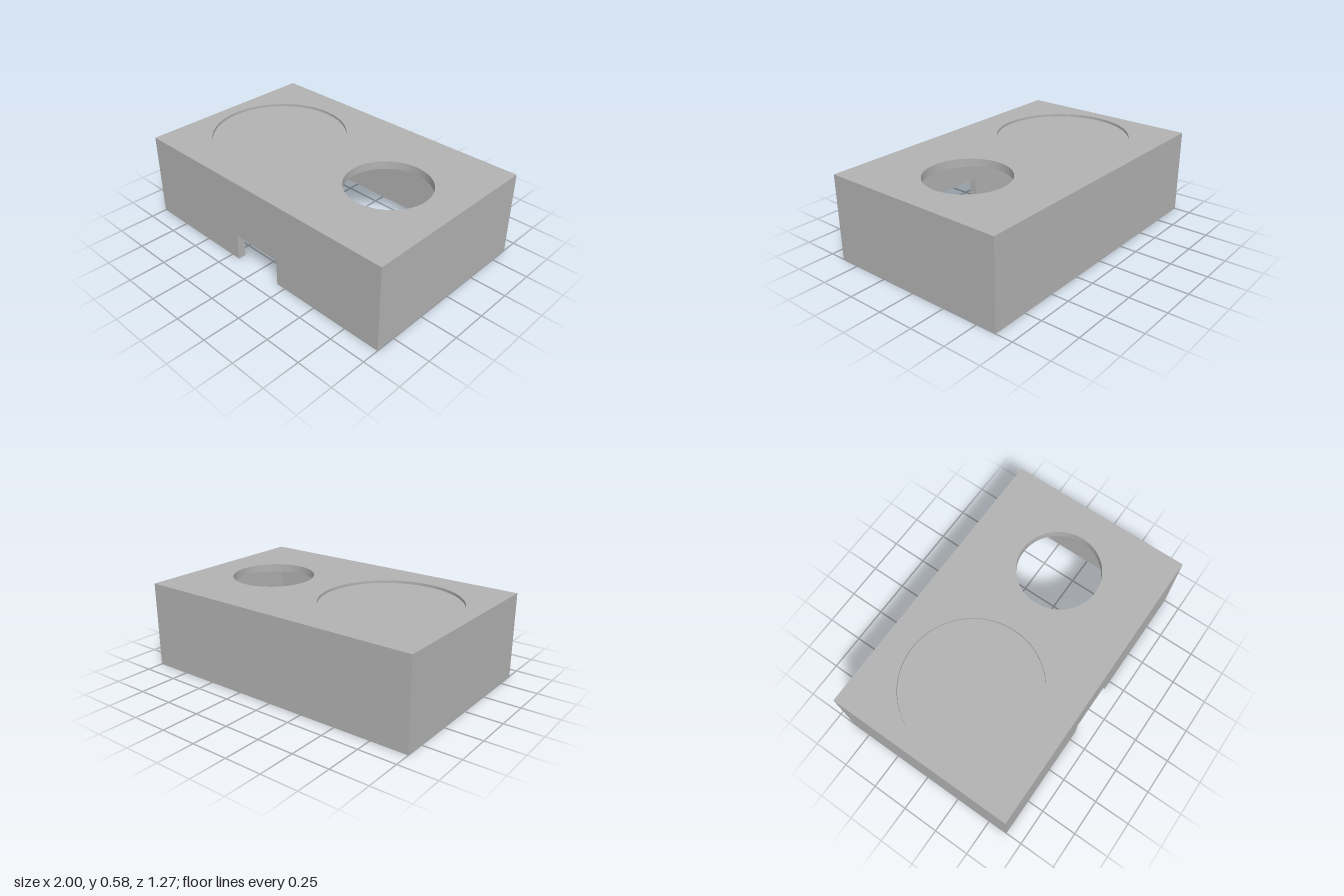
import * as THREE from 'three';

const W = 1, D = 0.636, H = 0.582;            // half width, half depth, height
const T = 0.0545;                             // wall and lid thickness
const CEIL = H - T, FLOOR = H - 0.018;        // underside of lid, floor of recess
const NW = 0.184, NH = 0.183;                 // notch half width and height
const RECESS = { x: -0.455, r: 0.455 };
const HOLE = { x: 0.508, r: 0.278 };
const SEG = 96;

const polygon = (pts) => new THREE.Shape(pts.map(([x, y]) => new THREE.Vector2(x, y)));
const rect = (w, d) => polygon([[-w, -d], [w, -d], [w, d], [-w, d]]);
const wall = (w, h) => polygon([[-w, 0], [w, 0], [w, h], [-w, h]]);
const notchedWall = (w, h) => polygon([
  [-w, 0], [-NW, 0], [-NW, NH], [NW, NH], [NW, 0], [w, 0], [w, h], [-w, h],
]);
const circle = ({ x, r }) => new THREE.Shape().absarc(x, 0, r, 0, Math.PI * 2, false);

export function createModel() {
  const group = new THREE.Group();
  const grey = new THREE.MeshStandardMaterial({ color: 0xb2b2b2 });
  grey.name = 'grey';

  // Flat face: drawn facing +z, then turned and moved into place
  function face(name, shape, [rx, ry], [x, y, z]) {
    const mesh = new THREE.Mesh(new THREE.ShapeGeometry(shape, SEG), grey);
    mesh.name = name;
    mesh.rotation.set(rx, ry, 0);
    mesh.position.set(x, y, z);
    group.add(mesh);
  }
  // Inward-facing round side of an opening
  function bore(name, { x, r }, top, bottom) {
    const profile = [new THREE.Vector2(r, top), new THREE.Vector2(r, bottom)];
    const mesh = new THREE.Mesh(new THREE.LatheGeometry(profile, SEG), grey);
    mesh.name = name;
    mesh.position.x = x;
    group.add(mesh);
  }
  const Q = Math.PI / 2;
  const iw = W - T, id = D - T;

  // Lid with shallow round recess and through hole
  const top = rect(W, D);
  top.holes.push(circle(RECESS), circle(HOLE));
  face('lidTop', top, [-Q, 0], [0, H, 0]);
  const ceiling = rect(iw, id);
  ceiling.holes.push(circle(HOLE));
  face('lidUnderside', ceiling, [Q, 0], [0, CEIL, 0]);
  face('recessFloor', circle(RECESS), [-Q, 0], [0, FLOOR, 0]);
  bore('recessSide', RECESS, H, FLOOR);
  bore('holeSide', HOLE, H, CEIL);

  // Outer and inner walls
  face('frontWallOuter', notchedWall(W, H), [0, 0], [0, 0, D]);
  face('frontWallInner', notchedWall(iw, CEIL), [0, Math.PI], [0, 0, id]);
  face('backWallOuter', wall(W, H), [0, Math.PI], [0, 0, -D]);
  face('backWallInner', wall(iw, CEIL), [0, 0], [0, 0, -id]);
  for (const s of [-1, 1]) {
    const side = s > 0 ? 'left' : 'right';
    face(side + 'WallOuter', wall(D, H), [0, s * Q], [s * W, 0, 0]);
    face(side + 'WallInner', wall(id, CEIL), [0, -s * Q], [s * iw, 0, 0]);
    // Notch cheeks
    face(side + 'NotchCheek', wall(T / 2, NH), [0, -s * Q], [s * NW, 0, D - T / 2]);
  }
  face('notchTop', rect(NW, T / 2), [Q, 0], [0, NH, D - T / 2]);

  // Bottom rim, open at the notch
  face('bottomRim', polygon([
    [NW, D], [-NW, D].map((v, i) => (i ? id : NW)), [iw, id], [iw, -id], [-iw, -id], [-iw, id],
    [-NW, id], [-NW, D], [-W, D], [-W, -D], [W, -D], [W, D],
  ]), [Q, 0], [0, 0, 0]);

  return group;
}
